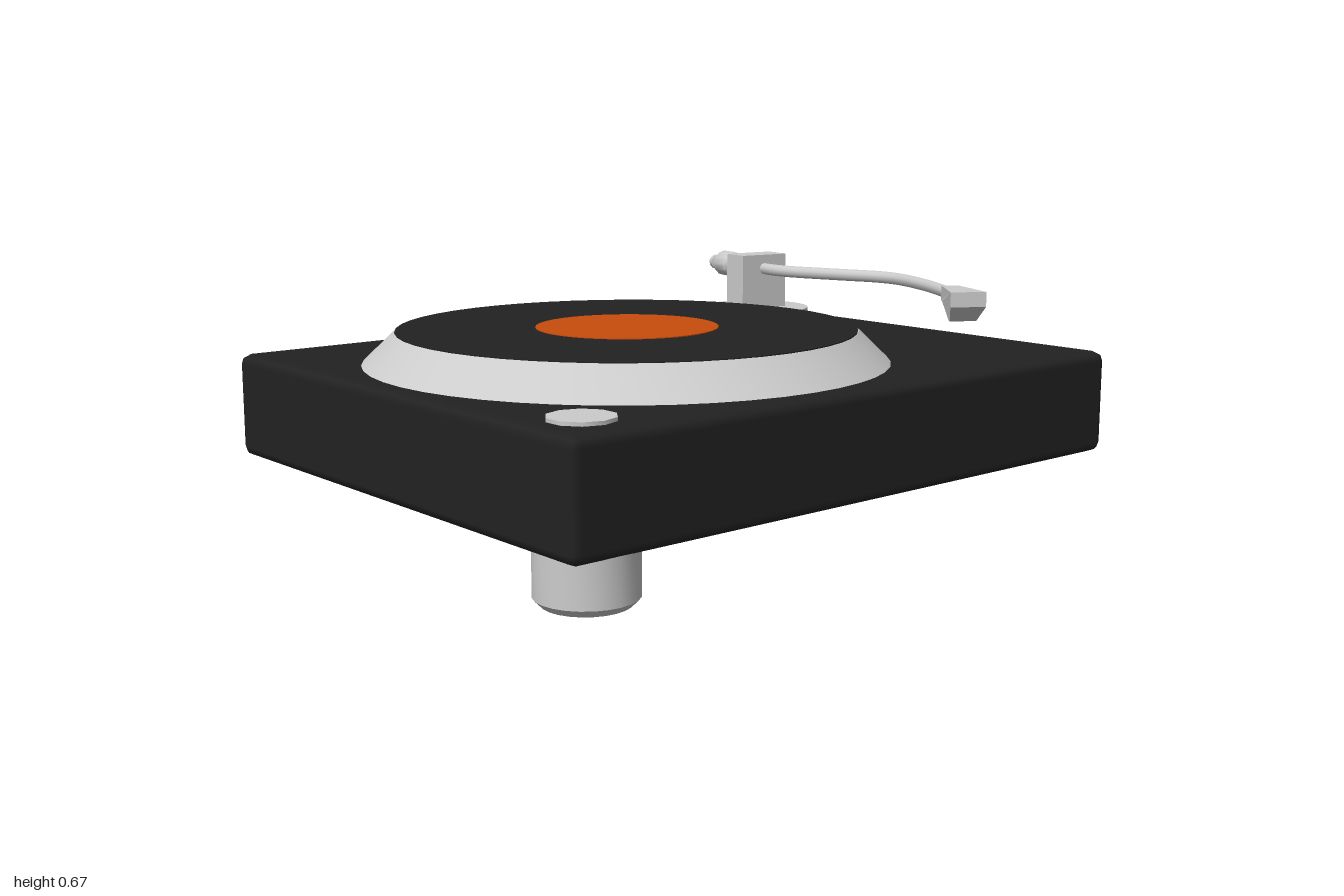
import * as THREE from 'three';
import { toCreasedNormals } from 'three/addons/utils/BufferGeometryUtils.js';
import { RoundedBoxGeometry } from 'three/addons/geometries/RoundedBoxGeometry.js';

export function createModel() {
  const model = new THREE.Group();
  model.name = 'turntable';
  const material = (name, color) => {
    const m = new THREE.MeshStandardMaterial({ color });
    m.name = name;
    return m;
  };
  const black = material('black', 0x222222);
  const silver = material('silver', 0xcccccc);
  const orange = material('orange', 0xc84c0c);

  const add = (name, geometry, mat, x = 0, y = 0, z = 0, parent = model) => {
    const mesh = new THREE.Mesh(geometry, mat);
    mesh.name = name;
    mesh.position.set(x, y, z);
    parent.add(mesh);
    return mesh;
  };
  // Turned part from [radius, height] pairs, bottom to top
  const turned = (profile, sides) => toCreasedNormals(
    new THREE.LatheGeometry(profile.map(([r, y]) => new THREE.Vector2(r, y)), sides), 0.7);

  // Plinth with softened edges, and its foot
  add('plinth', new RoundedBoxGeometry(2, 0.305, 1.64, 1, 0.03), black, 0, 0.2925, 0);
  add('foot', turned([[0, 0], [0.112, 0], [0.132, 0.02], [0.132, 0.16], [0, 0.16]], 24),
    silver, -0.845, 0, 0.668);

  // Sloped platter, record and label
  const cx = -0.18;
  add('platter', turned([[0, 0], [0.765, 0], [0.667, 0.095], [0, 0.095]], 48), silver, cx, 0.44, 0);
  add('record', new THREE.CylinderGeometry(0.665, 0.665, 0.006, 48), black, cx, 0.535, 0);
  add('label', new THREE.CylinderGeometry(0.265, 0.265, 0.006, 40), orange, cx, 0.5375, 0);

  // Power button
  add('button', turned([[0, 0], [0.088, 0], [0.088, 0.015], [0, 0.015]], 10), silver, -0.85, 0.44, 0.66);

  // Tonearm mount
  add('armBase', turned([[0, 0], [0.177, 0], [0.177, 0.05], [0, 0.05]], 32), silver, 0.71, 0.44, -0.4);
  const pivot = new THREE.Group();
  pivot.name = 'armPivot';
  pivot.position.set(0.71, 0, -0.4);
  pivot.rotation.y = -0.15;
  model.add(pivot);
  add('armPost', new THREE.BoxGeometry(0.175, 0.185, 0.095), silver, 0, 0.5775, 0, pivot);

  // Rear shaft, counterweight and end cap turned along one axis
  const armY = 0.623;
  const weight = turned([
    [0, 0], [0.019, 0], [0.019, 0.125], [0.034, 0.13], [0.043, 0.143], [0.043, 0.198],
    [0.034, 0.216], [0.017, 0.222], [0.017, 0.24], [0.024, 0.243], [0.024, 0.255],
    [0.017, 0.267], [0, 0.267],
  ], 12);
  weight.rotateX(-Math.PI / 2);
  add('counterweight', weight, silver, 0, armY, 0, pivot);

  // Curved arm tube
  const path = new THREE.CatmullRomCurve3([
    [0.71, -0.38], [0.693, -0.3], [0.698, -0.22], [0.755, -0.04], [0.795, 0.08],
    [0.795, 0.16], [0.73, 0.33], [0.6, 0.555],
  ].map(([x, z]) => new THREE.Vector3(x, armY, z)));
  add('armTube', new THREE.TubeGeometry(path, 40, 0.019, 10), silver);

  // Headshell: side profile extruded, then flared in width towards the tip
  const side = new THREE.Shape([
    [0, -0.02], [0.03, -0.02], [0.115, -0.066], [0.135, -0.066], [0.18, -0.02],
    [0.18, 0.023], [0, 0.023],
  ].map(([s, y]) => new THREE.Vector2(s, y)));
  const head = new THREE.ExtrudeGeometry(side, { depth: 1, bevelEnabled: false });
  head.translate(0, 0, -0.5).rotateY(-Math.PI / 2);
  const p = head.attributes.position;
  for (let i = 0; i < p.count; i++) {
    const s = p.getZ(i);
    const taper = p.getY(i) < -0.05 ? 0.75 : 1;
    p.setX(i, p.getX(i) * taper * (0.05 + 0.055 * Math.min(1, s / 0.135)));
  }
  head.computeVertexNormals();
  add('headshell', head, silver, 0.61, armY, 0.535).rotation.y = -0.57;

  return model;
}
